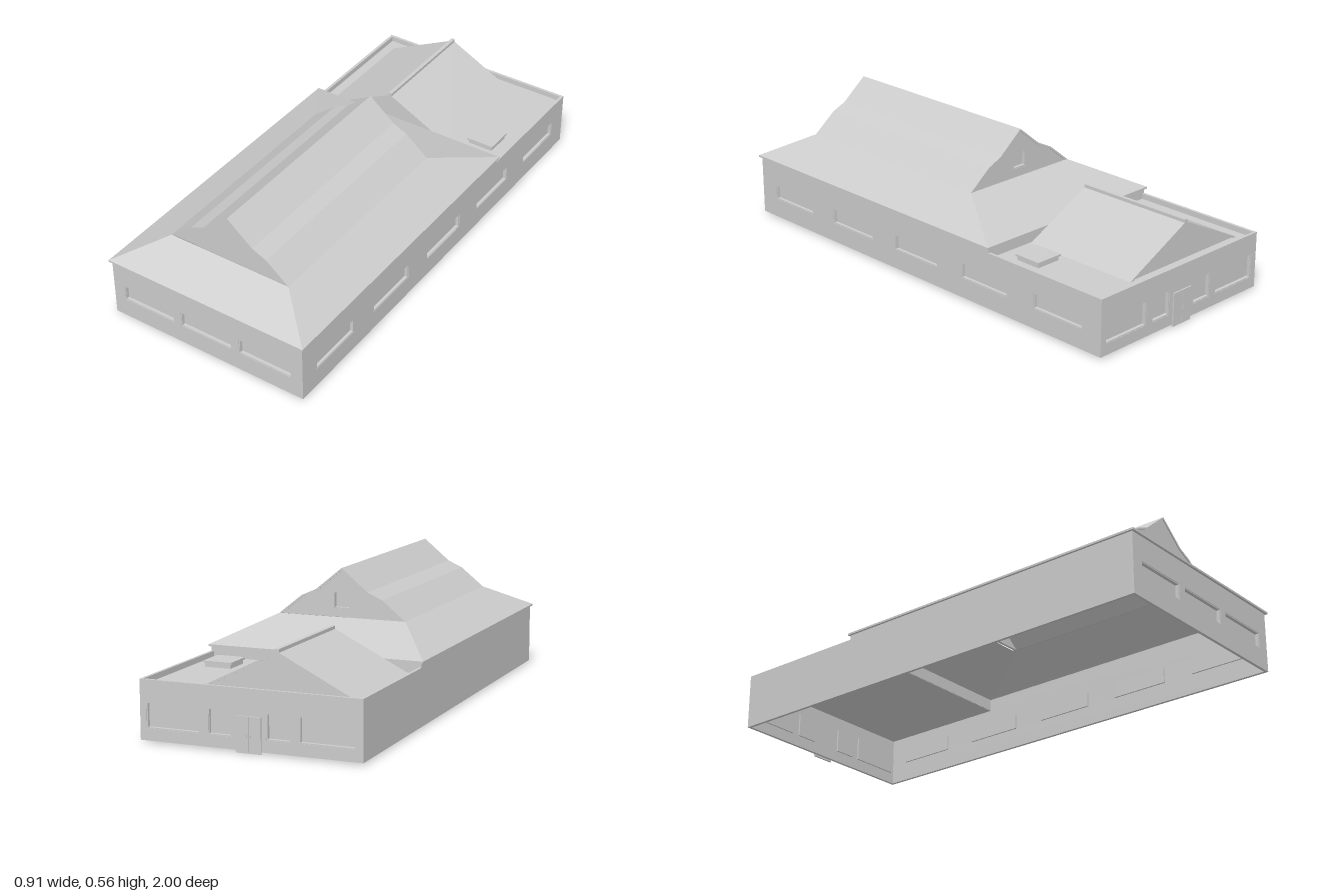
import * as THREE from 'three';

const mat = new THREE.MeshStandardMaterial({ color: 0xcccccc, flatShading: true, side: THREE.DoubleSide });
const T = 0.012; // wall thickness

function mesh(name, geo, parent) {
  const m = new THREE.Mesh(geo, mat);
  m.name = name;
  parent.add(m);
  return m;
}

function box(name, parent, w, h, d, x, y, z) {
  const m = mesh(name, new THREE.BoxGeometry(w, h, d), parent);
  m.position.set(x, y, z);
  return m;
}

const outline = pts => new THREE.Shape(pts.map(p => new THREE.Vector2(...p)));

function extrude(pts, depth, holes = []) {
  const shape = outline(pts);
  holes.forEach(h => shape.holes.push(outline(h)));
  return new THREE.ExtrudeGeometry(shape, { depth, bevelEnabled: false });
}

const rect = (u0, u1, y0, y1) => [[u0, y0], [u1, y0], [u1, y1], [u0, y1]];

// Wall whose outer face lies on local z = 0, with framed, recessed windows [u0, u1, y0, y1]
function wall(name, pts, windows) {
  const g = new THREE.Group();
  g.name = name;
  mesh(name + 'Panel', extrude(pts, T, windows.map(w => rect(...w))), g).position.z = -T;
  for (const [a, b, c, d] of windows) {
    const f = 0.004;
    mesh('windowFrame', extrude(rect(a, b, c, d), 0.016, [rect(a + f, b - f, c + f, d - f)]), g).position.z = -0.018;
    box('windowPane', g, b - a, d - c, 0.003, (a + b) / 2, (c + d) / 2, -0.017);
  }
  return g;
}

// Skin stretched over rectangular rings [halfWidth, y, zFront, zBack]
function ringSkin(rings) {
  const pos = [], idx = [];
  for (const [x, y, zf, zb] of rings) pos.push(-x, y, zf, x, y, zf, x, y, zb, -x, y, zb);
  for (let r = 0; r < rings.length - 1; r++) {
    for (let i = 0; i < 4; i++) {
      const a = r * 4 + i, b = r * 4 + (i + 1) % 4;
      idx.push(a, b, b + 4, a, b + 4, a + 4);
    }
  }
  const g = new THREE.BufferGeometry();
  g.setAttribute('position', new THREE.Float32BufferAttribute(pos, 3));
  g.setIndex(idx);
  const flat = g.toNonIndexed();
  flat.computeVertexNormals();
  return flat;
}

export function createModel() {
  const model = new THREE.Group();
  model.name = 'building';
  const W = 0.447, F = 0.99, Y0 = 0.008, HIGH = 0.262, LOW = 0.24, STEP = -0.41;

  // Walls
  const front = wall('frontWall', rect(-W, W, Y0, HIGH),
    [-0.275, 0, 0.275].map(c => [c - 0.12, c + 0.12, 0.09, 0.157]));
  front.position.z = F;

  const back = wall('backWall', rect(-W, W, Y0, LOW),
    [[-0.42, -0.2], [-0.165, -0.07], [0.07, 0.165], [0.2, 0.42]].map(([a, b]) => [a, b, 0.055, 0.155]));
  back.rotation.y = Math.PI;
  back.position.z = -0.993;

  const sideOutline = s => [[-F, Y0], [F, Y0], [F, LOW], [STEP, LOW], [STEP, HIGH], [-F, HIGH]].map(([z, y]) => [s * z, y]);
  const left = wall('leftWall', [[-F, Y0], [F, Y0], [F, LOW], [-STEP, LOW], [-STEP, HIGH], [-F, HIGH]],
    [0.775, 0.39, 0.003, -0.385, -0.775].map(z => [-z - 0.125, -z + 0.125, 0.09, 0.155]));
  left.rotation.y = Math.PI / 2;
  left.position.x = W;

  const right = wall('rightWall', sideOutline(-1).map(([u, y]) => [-u, y]).map(([u, y]) => [-u, y]), []);
  right.rotation.y = -Math.PI / 2;
  right.position.x = -W;
  // the right wall runs along +z, so its step is mirrored
  right.children[0].geometry.dispose();
  right.children[0].geometry = extrude([[-F, Y0], [F, Y0], [F, HIGH], [STEP, HIGH], [STEP, LOW], [-F, LOW]], T);
  model.add(front, back, left, right);

  // Double door in the back wall
  const door = new THREE.Group();
  door.name = 'backDoor';
  for (const s of [-1, 1]) {
    box('doorLeaf', door, 0.049, 0.138, 0.007, s * 0.0253, 0.069, -0.9955);
    box('doorHandle', door, 0.004, 0.012, 0.003, s * 0.008, 0.065, -0.9985);
  }
  model.add(door);

  // Lower hipped roof with a thin eave
  mesh('hippedRoof', ringSkin([
    [W - T, 0.258, F - T, -0.405],
    [0.456, 0.258, 1, -0.417],
    [0.456, 0.266, 1, -0.417],
    [0.275, 0.36, 0.83, -0.135],
  ]), model);

  // Upper gabled roof: a thin folded shell
  const half = [[0.275, 0.36], [0.175, 0.44], [0.112, 0.468], [0, 0.56]];
  const mirror = h => [...h, ...h.slice(0, -1).reverse().map(([x, y]) => [-x, y])];
  const inner = [[0.262, 0.36], [0.171, 0.433], [0.107, 0.461], [0, 0.551]];
  const shell = [...mirror(half), ...mirror(inner).reverse()];
  mesh('gabledRoof', extrude(shell, 0.965), model).position.z = -0.135;

  // Gable ends, the back one with a small window
  mesh('frontGable', extrude(mirror(inner), 0.004), model).position.z = 0.822;
  const gable = wall('backGable', mirror(inner), [[-0.034, 0.034, 0.395, 0.462]]);
  gable.rotation.y = Math.PI;
  gable.position.z = -0.131;
  model.add(gable);

  // Flat rear roof behind the parapet, and the wall up to the main eave
  box('flatRoof', model, 2 * (W - T), 0.006, 0.575, 0, 0.214, -0.695);
  box('eaveWall', model, 2 * (W - T), 0.05, 0.006, 0, 0.237, -0.408);

  // Gabled rooftop structure with a ridge cap
  const rear = new THREE.Group();
  rear.name = 'rearGabledRoof';
  mesh('rearGable', extrude([[-0.3, 0.214], [0.3, 0.214], [0, 0.364]], 0.506), rear).position.z = 0.007;
  mesh('rearRoofSlopes', extrude([[-0.31, 0.217], [-0.298, 0.214], [0, 0.363], [0.298, 0.214], [0.31, 0.217], [0, 0.371]], 0.515), rear);
  box('ridgeCap', rear, 0.016, 0.014, 0.515, 0, 0.373, 0.2575);
  rear.position.set(-0.085, 0, -0.932);
  model.add(rear);

  // Skylight
  box('skylightCurb', model, 0.11, 0.02, 0.11, 0.32, 0.225, -0.55);
  box('skylightLid', model, 0.122, 0.008, 0.122, 0.32, 0.238, -0.55);

  return model;
}
